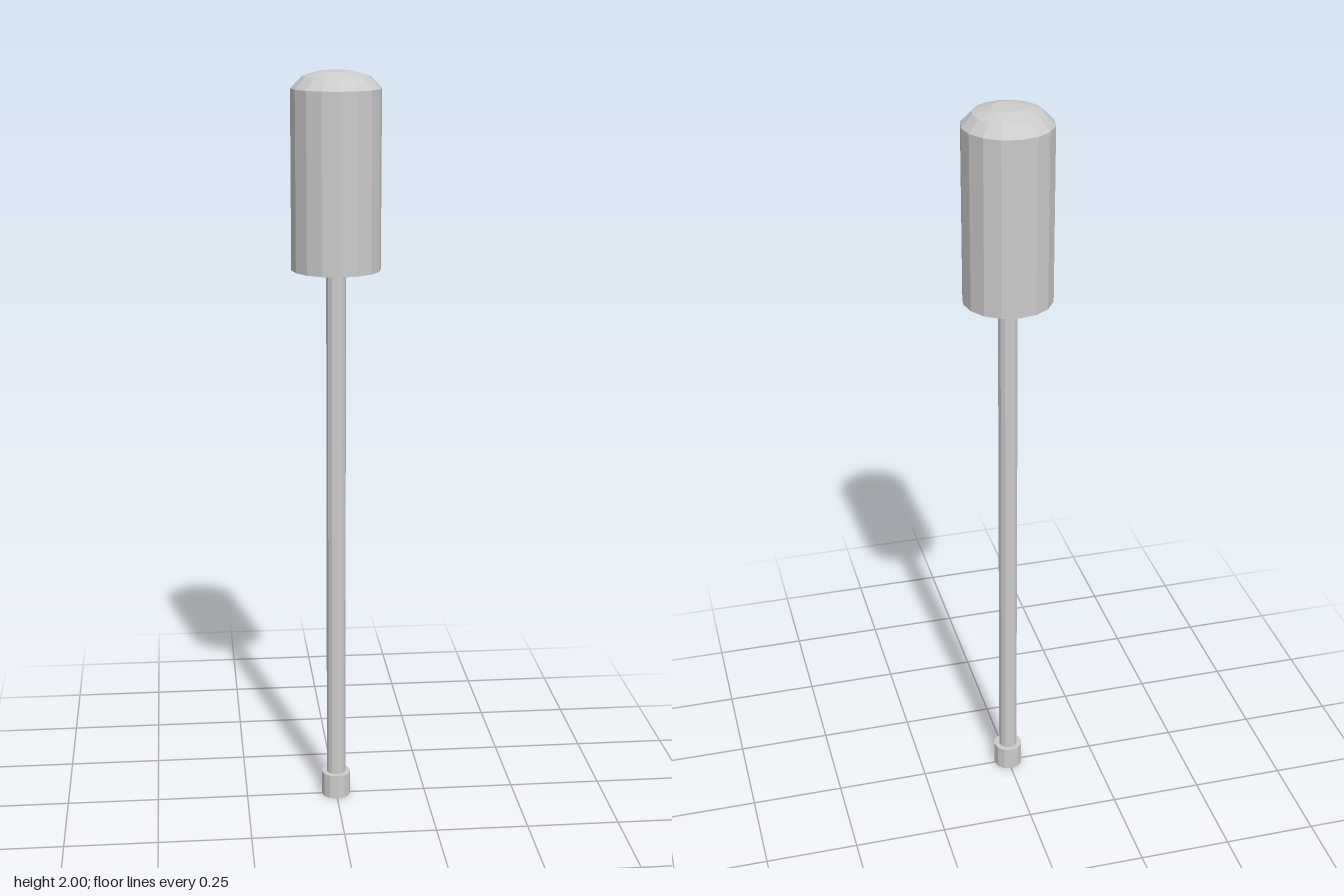
import * as THREE from 'three';

const material = new THREE.MeshStandardMaterial({ color: 0xcccccc, flatShading: true });

// Closed turned solid from [radius, height] points, bottom to top
function turned(name, profile, sides) {
  const points = profile.map(([r, y]) => new THREE.Vector2(r, y));
  const mesh = new THREE.Mesh(new THREE.LatheGeometry(points, sides), material);
  mesh.name = name;
  return mesh;
}

export function createModel() {
  const group = new THREE.Group();
  group.name = 'mallet';

  // Cylindrical head with a shallow rounded crown
  group.add(turned('head', [
    [0, 1.493], [0.117, 1.493], [0.117, 1.957],
    [0.088, 1.987], [0.042, 2], [0, 2],
  ], 16));

  // Slim shaft running from the end cap into the head
  group.add(turned('shaft', [[0, 0.03], [0.026, 0.03], [0.026, 1.51], [0, 1.51]], 12));

  // Small collar at the foot of the shaft
  group.add(turned('endCap', [[0, 0], [0.04, 0], [0.04, 0.068], [0, 0.068]], 12));

  return group;
}
